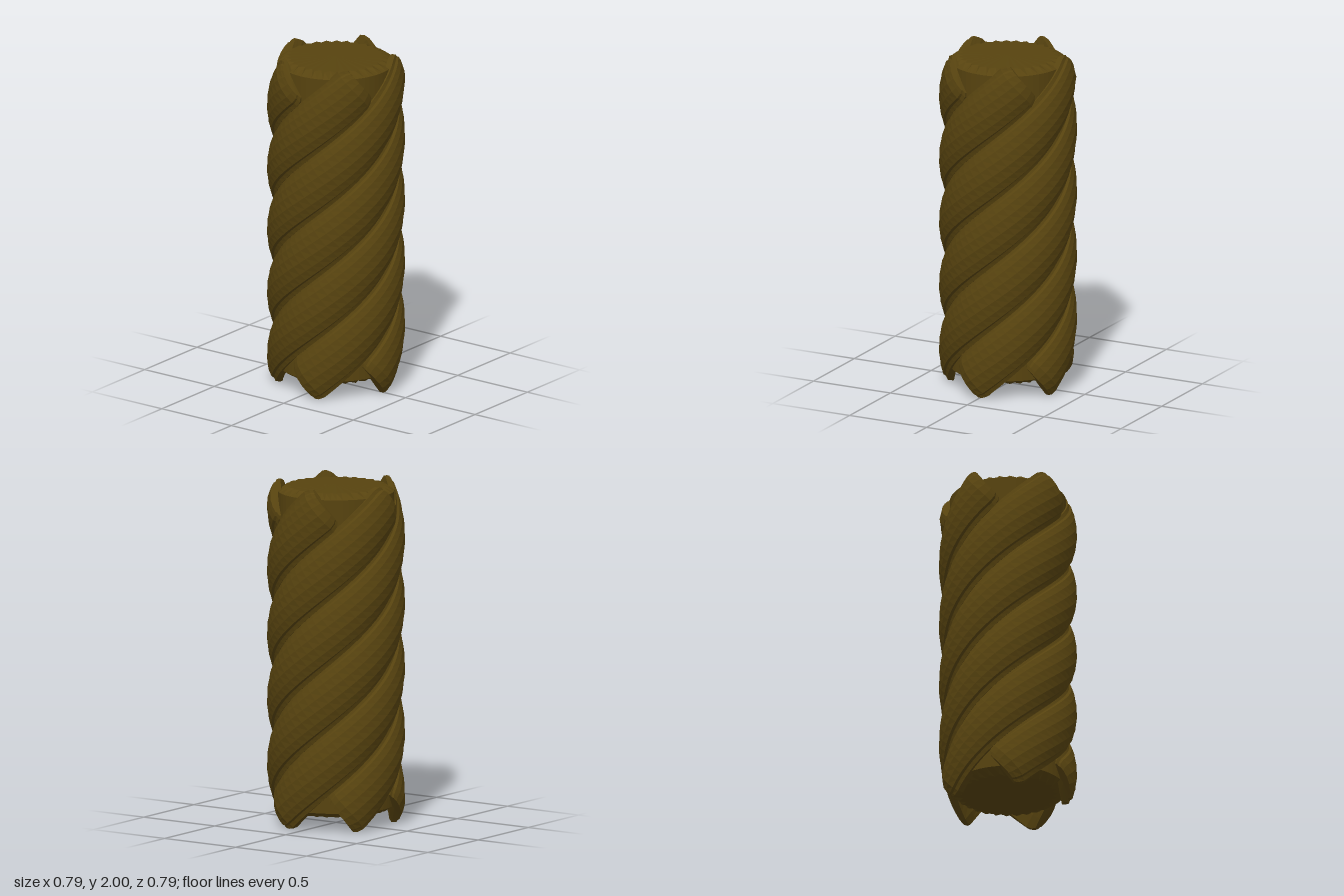
import * as THREE from 'three';

const STRANDS = 5;
const STEPS = 56;
const RISE = 0.301;              // height gained per radian
const R = 0.36;                  // mean helix radius
const SLOPE = Math.atan(RISE / R);
const Y0 = 0.095, Y1 = 1.905;

// strand cross-section: [offset across the strand, distance from the axis]
const PROFILE = [
  [-0.15, 0.31], [-0.148, 0.348], [-0.125, 0.358], [-0.118, 0.372], [-0.075, 0.388],
  [-0.02, 0.397], [0.035, 0.394], [0.085, 0.382], [0.118, 0.366], [0.126, 0.352],
  [0.148, 0.344], [0.15, 0.31], [0.07, 0.3], [-0.07, 0.3],
];

// point on the helix of a strand, shifted across it and set at a radius
function helixPoint(y, start, across, radius) {
  const angle = start + (y - 0.11) / RISE - across * Math.sin(SLOPE) / R;
  return [radius * Math.sin(angle), y + across * Math.cos(SLOPE), radius * Math.cos(angle)];
}

function strandGeometry(start) {
  // rings along the strand, with narrowed rings to round both ends
  const rings = [[Y0, 0.8], [Y0 + 0.012, 0.92]];
  for (let i = 0; i <= STEPS; i++) {
    rings.push([THREE.MathUtils.lerp(Y0 + 0.035, Y1 - 0.035, i / STEPS), 1]);
  }
  rings.push([Y1 - 0.012, 0.92], [Y1, 0.8]);

  const n = PROFILE.length, position = [], index = [];
  for (const [y, scale] of rings) {
    for (const [u, r] of PROFILE) {
      const radius = 0.345 + (r - 0.345) * (scale === 1 ? 1 : scale * 0.85);
      position.push(...helixPoint(y, start, u * scale, radius));
    }
  }
  for (let i = 0; i < rings.length - 1; i++) {
    for (let j = 0; j < n; j++) {
      const a = i * n + j, b = i * n + (j + 1) % n, c = a + n, d = b + n;
      index.push(a, c, b, b, c, d);
    }
  }
  // end caps
  const first = position.length / 3, last = (rings.length - 1) * n;
  position.push(...helixPoint(Y0, start, 0, 0.345), ...helixPoint(Y1, start, 0, 0.345));
  for (let j = 0; j < n; j++) {
    const k = (j + 1) % n;
    index.push(first, j, k, first + 1, last + k, last + j);
  }
  const geometry = new THREE.BufferGeometry();
  geometry.setAttribute('position', new THREE.Float32BufferAttribute(position, 3));
  geometry.setIndex(index);
  geometry.computeVertexNormals();
  return geometry;
}

function coreGeometry() {
  const profile = [[0, 0.08], [0.29, 0.08], [0.335, 0.11], [0.335, 1.94], [0.29, 1.97], [0, 1.975]];
  const geometry = new THREE.LatheGeometry(profile.map(p => new THREE.Vector2(...p)), 60);
  // jagged rims at both ends
  const pos = geometry.attributes.position, rows = profile.length;
  for (let i = 0; i <= 60; i += 2) {
    for (const j of [1, 4]) {
      const v = i * rows + j;
      pos.setX(v, pos.getX(v) * 0.9);
      pos.setZ(v, pos.getZ(v) * 0.9);
    }
  }
  geometry.computeVertexNormals();
  return geometry;
}

export function createModel() {
  const model = new THREE.Group();
  model.name = 'twistedColumn';
  const material = new THREE.MeshStandardMaterial({ color: 0x57430f, flatShading: true });

  const core = new THREE.Mesh(coreGeometry(), material);
  core.name = 'core';
  model.add(core);

  // strands wound around the core
  for (let i = 0; i < STRANDS; i++) {
    const start = THREE.MathUtils.degToRad(-11) + i * 2 * Math.PI / STRANDS;
    const strand = new THREE.Mesh(strandGeometry(start), material);
    strand.name = `strand${i + 1}`;
    model.add(strand);
  }
  return model;
}
